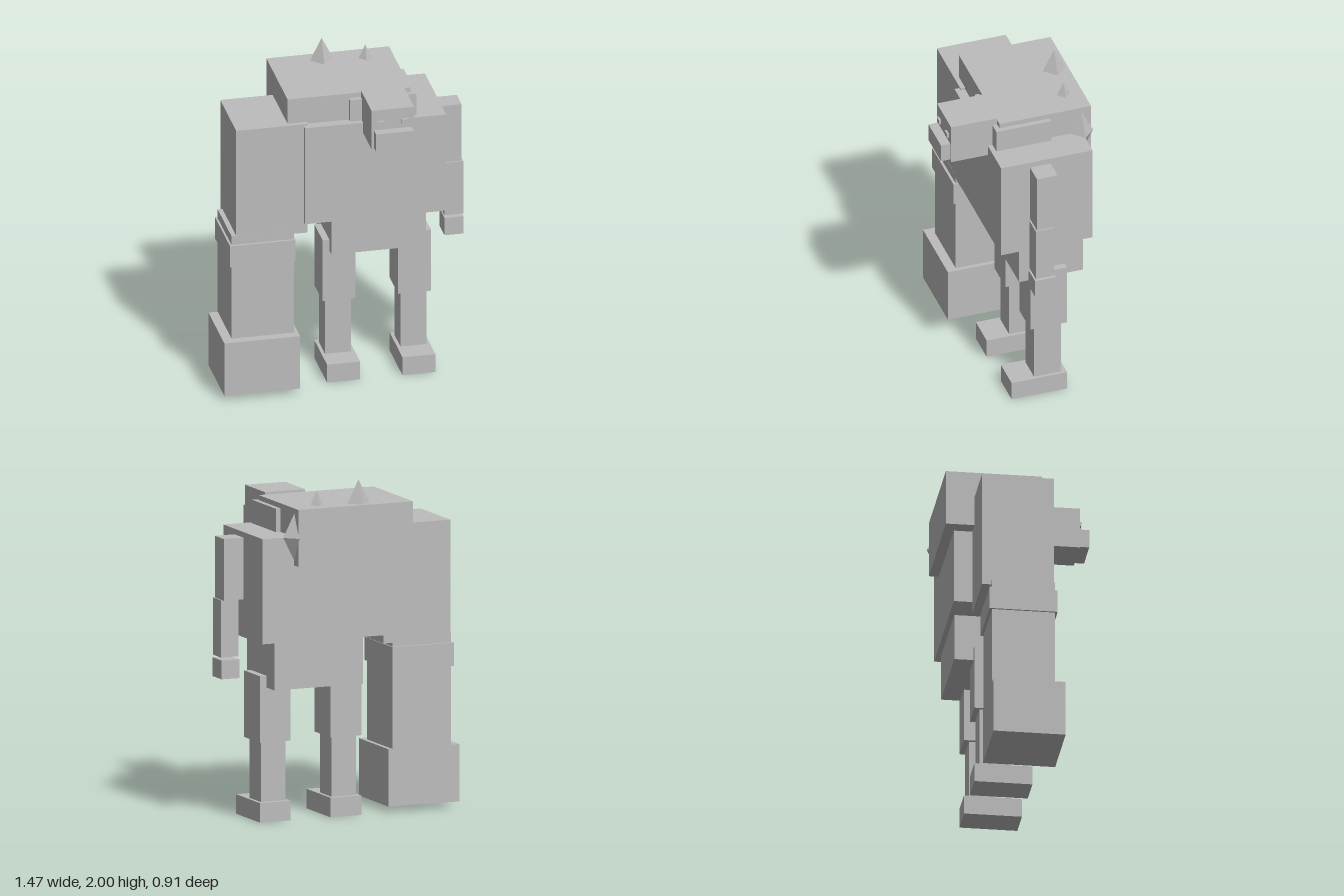
import * as THREE from 'three';

export function createModel() {
  const model = new THREE.Group();
  model.name = 'lopsidedGolem';
  const stone = new THREE.MeshStandardMaterial({ color: 0xbcbcbc });
  stone.name = 'stone grey';

  // Box given by its low and high corner on each axis
  function block(name, [x0, x1], [y0, y1], [z0, z1], parent = model) {
    const mesh = new THREE.Mesh(new THREE.BoxGeometry(x1 - x0, y1 - y0, z1 - z0), stone);
    mesh.name = name;
    mesh.position.set((x0 + x1) / 2, (y0 + y1) / 2, (z0 + z1) / 2);
    parent.add(mesh);
  }

  function group(name) {
    const g = new THREE.Group();
    g.name = name;
    model.add(g);
    return g;
  }

  // Torso
  const torso = group('torso');
  block('chest', [-0.25, 0.59], [1.075, 1.694], [-0.386, 0.175], torso);
  block('belly', [-0.06, 0.503], [0.793, 1.12], [-0.357, 0.035], torso);
  block('hump', [-0.34, 0.39], [1.526, 1.862], [-0.445, 0.117], torso);
  block('collar', [0.025, 0.42], [1.6, 1.832], [-0.192, 0.146], torso);

  // Head
  const head = group('head');
  block('skull', [0.096, 0.35], [1.628, 1.876], [0.118, 0.4], head);
  block('muzzle', [0.11, 0.335], [1.638, 1.749], [0.38, 0.457], head);
  for (const x of [0.151, 0.293]) {
    block('eye', [x - 0.021, x + 0.021], [1.78, 1.807], [0.39, 0.413], head);
  }

  // Huge right arm reaching the ground
  const rightArm = group('rightArm');
  block('rightUpperArm', [-0.652, -0.227], [1.006, 1.706], [-0.277, 0.146], rightArm);
  block('rightForearm', [-0.68, -0.31], [0.35, 1.03], [-0.22, 0.147], rightArm);
  block('rightCuff', [-0.692, -0.302], [0.836, 0.973], [-0.237, 0.162], rightArm);
  block('rightFist', [-0.735, -0.285], [0.032, 0.37], [-0.22, 0.203], rightArm);

  // Thin left arm
  const leftArm = group('leftArm');
  block('leftUpperArm', [0.597, 0.722], [1.3, 1.664], [-0.127, 0], leftArm);
  block('leftForearm', [0.617, 0.73], [0.963, 1.3], [-0.103, 0.01], leftArm);
  block('leftHand', [0.617, 0.73], [0.836, 0.947], [-0.113, 0.014], leftArm);

  // Legs
  for (const [side, x] of [['right', -0.002], ['left', 0.447]]) {
    const leg = group(side + 'Leg');
    block(side + 'Thigh', [x - 0.098, x + 0.098], [0.47, 0.862], [-0.245, -0.021], leg);
    block(side + 'Shin', [x - 0.078, x + 0.078], [0.1, 0.48], [-0.213, -0.049], leg);
    block(side + 'Foot', [x - 0.098, x + 0.098], [0, 0.115], [-0.245, 0.095], leg);
  }

  // Crystal spikes, half sunk into the back
  const spikes = group('spikes');
  for (const [x, y, z, r, h] of [
    [-0.03, 1.862, -0.361, 0.07, 0.138],
    [0.223, 1.862, -0.332, 0.041, 0.082],
    [0.39, 1.693, -0.387, 0.07, 0.139],
  ]) {
    const spike = new THREE.Mesh(new THREE.OctahedronGeometry(1), stone);
    spike.name = 'spike';
    spike.scale.set(r, h, r);
    spike.position.set(x, y, z);
    spikes.add(spike);
  }
  return model;
}
